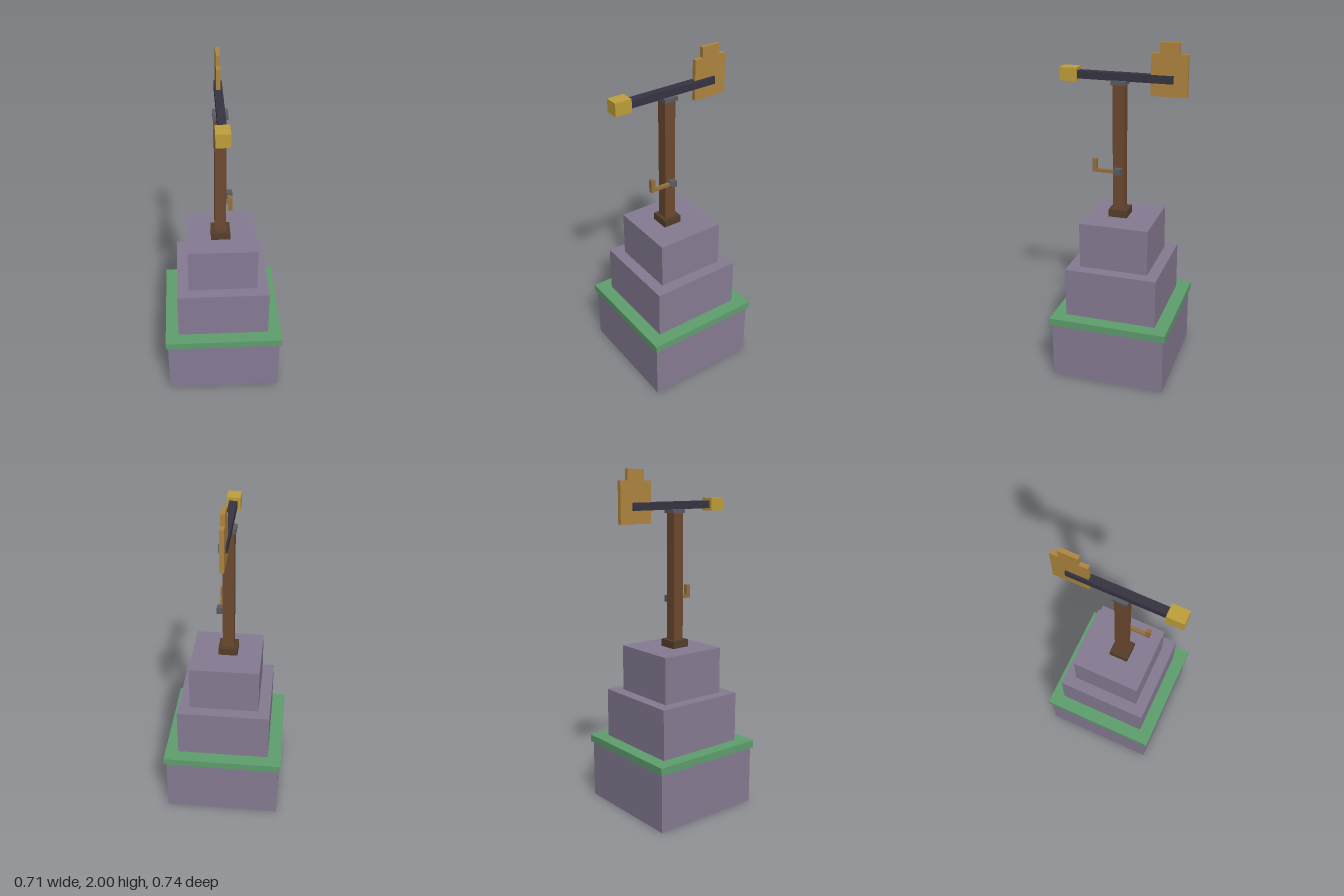
import * as THREE from 'three';

function material(name, color) {
  const m = new THREE.MeshStandardMaterial({ color });
  m.name = name;
  return m;
}

export function createModel() {
  const model = new THREE.Group();
  model.name = 'weatherVane';

  const stone = material('mauveStone', 0x877c94);
  const green = material('greenTrim', 0x5f9f6f);
  const darkWood = material('darkWood', 0x553e2a);
  const wood = material('brownWood', 0x6e4a30);
  const grey = material('greyMetal', 0x5b5b62);
  const iron = material('darkIron', 0x363442);
  const gold = material('gold', 0xc0a03a);
  const tan = material('tanWood', 0xb0863f);
  const crankWood = material('crankWood', 0x967040);

  // Box given by its extents on each axis
  function block(name, mat, [x0, x1], [y0, y1], [z0, z1]) {
    const mesh = new THREE.Mesh(new THREE.BoxGeometry(x1 - x0, y1 - y0, z1 - z0), mat);
    mesh.position.set((x0 + x1) / 2, (y0 + y1) / 2, (z0 + z1) / 2);
    mesh.name = name;
    model.add(mesh);
  }

  // Stepped plinth: half width, bottom, top
  const tiers = [
    ['lowerTier', stone, 0.342, 0, 0.35],
    ['trimSlab', green, 0.355, 0.35, 0.394],
    ['middleTier', stone, 0.275, 0.394, 0.692],
    ['upperTier', stone, 0.206, 0.692, 0.968],
  ];
  for (const [name, mat, h, y0, y1] of tiers) {
    block(name, mat, [-h, h], [y0, y1], [-h - 0.001, h - 0.001]);
  }

  // Post with its foot and cap
  block('postFoot', darkWood, [-0.064, 0.05], [0.968, 1.012], [-0.036, 0.077]);
  block('post', wood, [-0.041, 0.026], [1.012, 1.756], [-0.012, 0.055]);
  block('postCap', grey, [-0.049, 0.035], [1.753, 1.777], [-0.023, 0.062]);

  // Beam with front weight
  block('beam', iron, [-0.03, 0.016], [1.775, 1.819], [-0.289, 0.268]);
  block('frontWeight', gold, [-0.048, 0.031], [1.76, 1.837], [0.267, 0.367]);

  // Stepped tail plate: outline in (-z, y), thickness along x
  const outline = [
    [0.16, 1.702], [0.368, 1.702], [0.368, 1.938], [0.319, 1.938],
    [0.319, 2], [0.208, 2], [0.208, 1.938], [0.16, 1.938],
  ].map(([x, y]) => new THREE.Vector2(x, y));
  const tail = new THREE.Mesh(
    new THREE.ExtrudeGeometry(new THREE.Shape(outline), { depth: 0.024, bevelEnabled: false }), tan);
  tail.name = 'tailPlate';
  tail.rotation.y = Math.PI / 2;
  tail.position.x = -0.02;
  model.add(tail);

  // Side crank
  block('crankHub', grey, [0.024, 0.062], [1.231, 1.27], [0, 0.04]);
  block('crankArm', crankWood, [0.032, 0.053], [1.242, 1.26], [0.039, 0.147]);
  block('crankHandle', crankWood, [0.03, 0.055], [1.242, 1.321], [0.144, 0.169]);

  return model;
}
